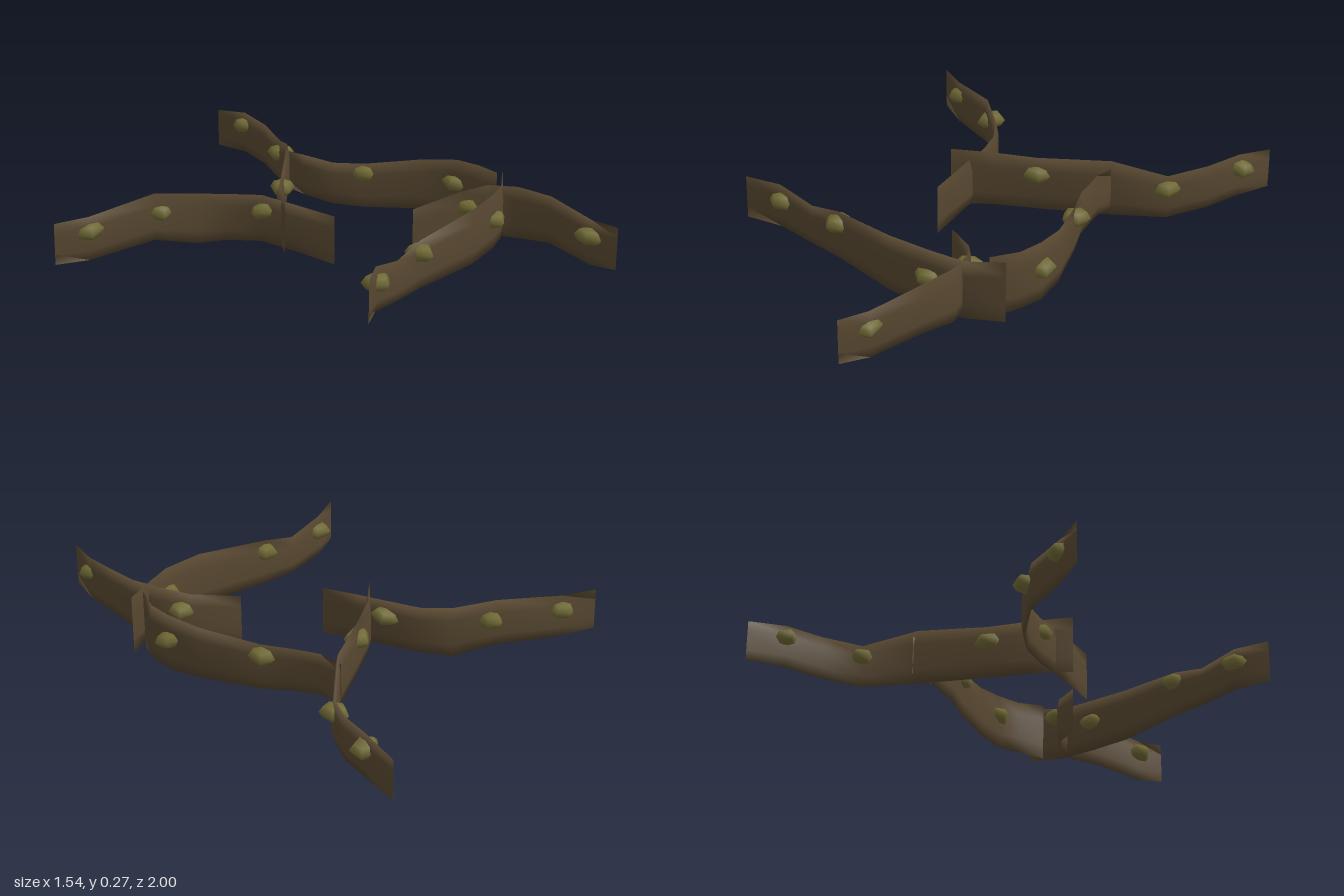
import * as THREE from 'three';

// Each branch is a path of [x, z, bottom, top] stations
const BRANCHES = {
  leftBranch: [
    [-0.775, -0.4, 0.06, 0.22], [-0.64, -0.372, 0.05, 0.22], [-0.37, -0.325, 0.07, 0.255],
    [-0.22, -0.26, 0.035, 0.235], [-0.13, -0.19, 0.045, 0.23], [-0.05, -0.085, 0.05, 0.235],
    [0, 0.045, 0.035, 0.22], [0.06, 0.195, 0.01, 0.2]],
  backBranch: [
    [-0.06, 0.055, 0.045, 0.27], [0.03, -0.075, 0.04, 0.255], [0.15, -0.19, 0.04, 0.25],
    [0.35, -0.38, 0.045, 0.265], [0.47, -0.55, 0.035, 0.205], [0.52, -0.7, 0.055, 0.225],
    [0.533, -0.84, 0.07, 0.24], [0.525, -1, 0.06, 0.215]],
  rightBranch: [
    [0.35, -0.4, 0.085, 0.235], [0.37, -0.3, 0.07, 0.235], [0.42, -0.19, 0.05, 0.22],
    [0.5, -0.1, 0.04, 0.22], [0.65, 0.08, 0.045, 0.25], [0.71, 0.2, 0.04, 0.265],
    [0.725, 0.3, 0.045, 0.265], [0.705, 0.41, 0.035, 0.27]],
  shortBranch: [
    [0.345, 0.32, 0.005, 0.19], [0.53, 0.375, 0.04, 0.225], [0.62, 0.44, 0.05, 0.25],
    [0.68, 0.54, 0.05, 0.255], [0.705, 0.68, 0.065, 0.25], [0.7, 0.88, 0.04, 0.215],
    [0.7, 1, 0.055, 0.22]],
  frontBranch: [
    [0.765, 0.385, 0.04, 0.27], [0.66, 0.48, 0.035, 0.255], [0.54, 0.545, 0.045, 0.265],
    [0.37, 0.595, 0.045, 0.26], [0.07, 0.62, 0.045, 0.23], [-0.07, 0.645, 0.045, 0.2],
    [-0.22, 0.69, 0.065, 0.235], [-0.33, 0.77, 0.08, 0.245]],
};

// Moss clumps: x, y, z
const CLUMPS = [
  [-0.635, 0.165, -0.375], [-0.345, 0.18, -0.325], [-0.045, 0.175, -0.08],
  [0.15, 0.185, -0.19], [0.47, 0.155, -0.55], [0.535, 0.185, -0.845],
  [0.5, 0.18, -0.105], [0.71, 0.17, 0.195],
  [0.56, 0.165, 0.39], [0.69, 0.155, 0.88],
  [0.54, 0.165, 0.545], [0.07, 0.185, 0.62], [-0.215, 0.175, 0.69],
];

// Tall, thin six-sided tube that narrows to a vertical edge at both ends
function branchGeometry(path) {
  const sides = 6, pos = [], index = [], last = path.length - 1;
  path.forEach(([x, z, lo, hi], i) => {
    const a = path[Math.max(i - 1, 0)], b = path[Math.min(i + 1, last)];
    const dx = b[0] - a[0], dz = b[1] - a[1], len = Math.hypot(dx, dz);
    const half = i === 0 || i === last ? 0.0006 : 0.0115;
    for (let k = 0; k < sides; k++) {
      const t = (k / sides) * Math.PI * 2, s = Math.sin(t) * half;
      pos.push(x + (dz / len) * s, (lo + hi) / 2 + Math.cos(t) * (hi - lo) / 2, z - (dx / len) * s);
      if (i < last) {
        const p = i * sides + k, q = i * sides + (k + 1) % sides;
        index.push(p, p + sides, q, q, p + sides, q + sides);
      }
    }
  });
  const g = new THREE.BufferGeometry();
  g.setAttribute('position', new THREE.Float32BufferAttribute(pos, 3));
  g.setIndex(index);
  g.computeVertexNormals();
  return g;
}

export function createModel() {
  const model = new THREE.Group();
  model.name = 'fallenBranches';
  const bark = new THREE.MeshStandardMaterial({ name: 'bark brown', color: 0x574730, side: THREE.DoubleSide });
  const moss = new THREE.MeshStandardMaterial({ name: 'moss olive', color: 0x6f6935 });

  for (const [name, path] of Object.entries(BRANCHES)) {
    const mesh = new THREE.Mesh(branchGeometry(path), bark);
    mesh.name = name;
    model.add(mesh);
  }

  // Squashed five-sided clumps, each turned and tilted a little differently
  const clumpGeometry = new THREE.SphereGeometry(0.058, 5, 4);
  CLUMPS.forEach(([x, y, z], i) => {
    const clump = new THREE.Mesh(clumpGeometry, moss);
    clump.name = 'mossClump';
    clump.position.set(x, y, z);
    clump.scale.set(1, 0.56, 0.85);
    clump.rotation.set(0.15 * Math.sin(i * 2.1), i * 1.3, 0.15 * Math.cos(i * 1.7));
    model.add(clump);
  });
  return model;
}
